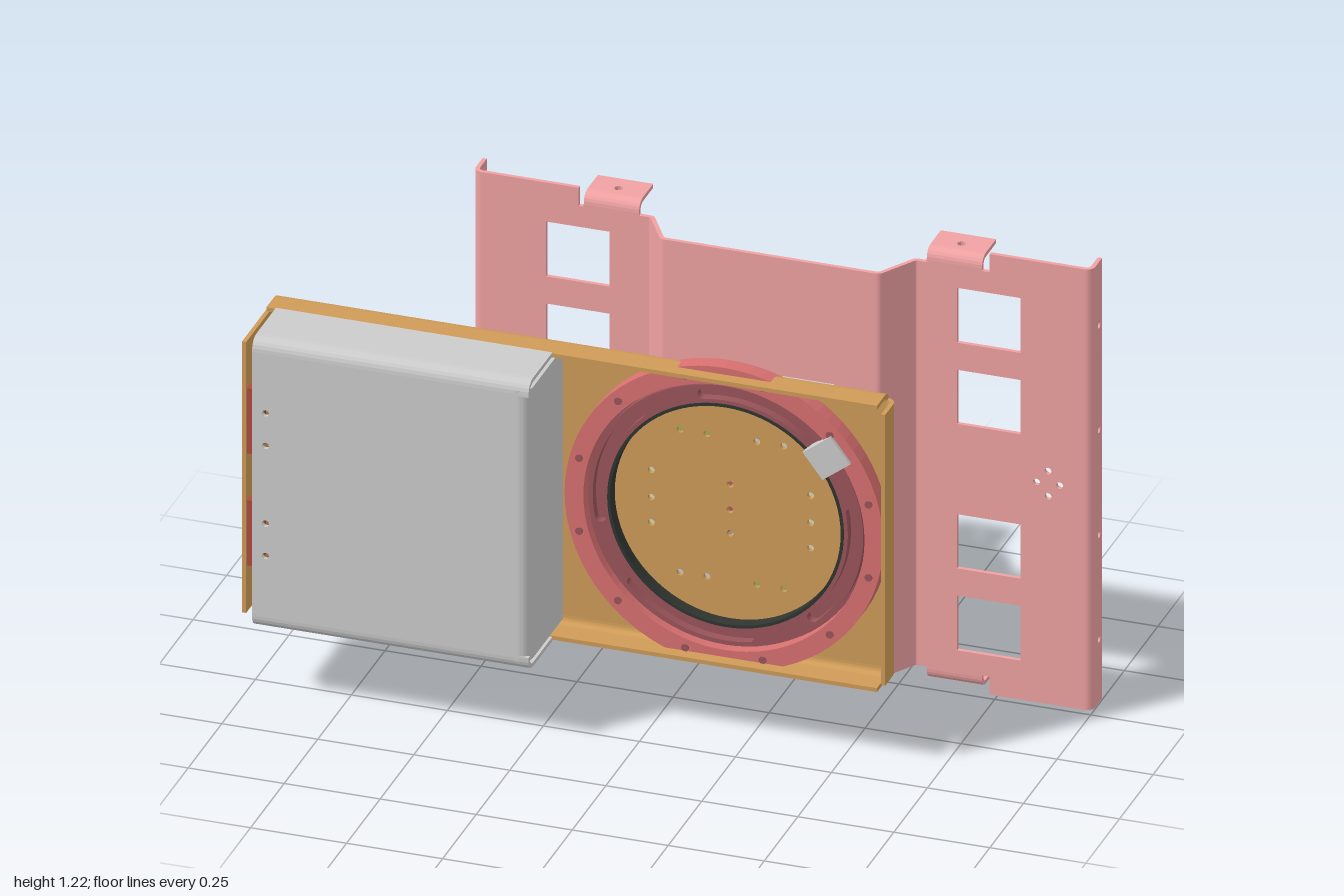
import * as THREE from 'three';

const paint = (color) => new THREE.MeshStandardMaterial({ color, side: THREE.DoubleSide });
const M = {
  pink: paint(0xf0a2a2), brown: paint(0xd09c58), grey: paint(0xcccccc), ring: paint(0xd87070),
  darkRing: paint(0x9a545a), orange: paint(0xf08c10), green: paint(0x96b05a), pale: paint(0xd6d9bb),
  bolt: paint(0x303530), core: paint(0xd87c7c), red: paint(0xb04a40),
};
const T = 0.011; // sheet thickness
const CY = 0.61; // mid height, the mirror line of most parts

function add(parent, name, geo, mat, x = 0, y = 0, z = 0) {
  const m = new THREE.Mesh(geo, mat);
  m.name = name;
  m.position.set(x, y, z);
  parent.add(m);
  return m;
}
const V = (p) => p.map(([x, y]) => new THREE.Vector2(x, y));
const rect = (x0, y0, x1, y1) => [[x0, y0], [x1, y0], [x1, y1], [x0, y1]];
const box = (p, name, mat, x0, x1, y0, y1, z0, z1) =>
  add(p, name, new THREE.BoxGeometry(x1 - x0, y1 - y0, z1 - z0), mat, (x0 + x1) / 2, (y0 + y1) / 2, (z0 + z1) / 2);

// flat plate with square windows and round holes [x, y, r]
function plate(outline, windows = [], holes = [], depth = T) {
  const s = new THREE.Shape(V(outline));
  windows.forEach((w) => s.holes.push(new THREE.Path(V(w))));
  holes.forEach(([x, y, r = 0.009]) => s.holes.push(new THREE.Path().absarc(x, y, r, 0, Math.PI * 2, true)));
  return new THREE.ExtrudeGeometry(s, { depth, bevelEnabled: false, curveSegments: 6 });
}
// sheet following a centre line with rounded bends
function bent(points, depth, r = 0.025, t = T) {
  const p = V(points), line = [p[0]];
  for (let i = 1; i < p.length - 1; i++) {
    const a = p[i - 1].clone().sub(p[i]).setLength(r).add(p[i]);
    const b = p[i + 1].clone().sub(p[i]).setLength(r).add(p[i]);
    line.push(...new THREE.QuadraticBezierCurve(a, p[i], b).getPoints(6));
  }
  line.push(p[p.length - 1]);
  const side = (k) => line.map((q, i) => {
    const d = line[Math.min(i + 1, line.length - 1)].clone().sub(line[Math.max(i - 1, 0)]).normalize();
    return new THREE.Vector2(q.x - d.y * k, q.y + d.x * k);
  });
  const shape = new THREE.Shape([...side(t / 2), ...side(-t / 2).reverse()]);
  return new THREE.ExtrudeGeometry(shape, { depth, bevelEnabled: false });
}
// profile of [x, z] raised along y, and profile of [z, y] run along x
const bentUp = (pts, y0, y1, r) => bent(pts.map(([x, z]) => [x, -z]), y1 - y0, r).rotateX(-Math.PI / 2).translate(0, y0, 0);
const bentAcross = (pts, x0, x1, r) => bent(pts.map(([z, y]) => [-z, y]), x1 - x0, r).rotateY(Math.PI / 2).translate(x0, 0, 0);
const flipY = (pts) => pts.map(([z, y]) => [z, 2 * CY - y]);

// extruded bar with grooves in its sides
function slottedBar(w, h, slotsSide, slotsTop, length) {
  const pts = [], run = (slots, half, place) => {
    pts.push(place(-half, 0));
    slots.forEach((c) => pts.push(place(c - 0.011, 0), place(c - 0.011, 0.022), place(c + 0.011, 0.022), place(c + 0.011, 0)));
  };
  run(slotsTop, w / 2, (u, d) => [u, -h / 2 + d]);
  run(slotsSide, h / 2, (u, d) => [w / 2 - d, u]);
  run(slotsTop, w / 2, (u, d) => [-u, h / 2 - d]);
  run(slotsSide, h / 2, (u, d) => [-w / 2 + d, -u]);
  return plate(pts, [], [], length);
}
function bolt(p, x, y, z, axis, len = 0.025, r = 0.017) {
  const m = add(p, 'bolt', new THREE.CylinderGeometry(r, r, len, 16), M.bolt, x, y, z);
  if (axis === 'x') m.rotation.z = Math.PI / 2;
  if (axis === 'z') m.rotation.x = Math.PI / 2;
}

// folded wall plate
function wallPlate() {
  const g = new THREE.Group();
  g.name = 'wallPlate';
  const rows = [[0.108, 0.26], [0.335, 0.485], [0.735, 0.885], [0.96, 1.112]];
  const wings = [[-0.61, -0.34, -0.16, -0.425, -0.26, -0.255], [0.992, 0.73, 0.545, 0.645, 0.81, 0.638]];
  wings.forEach(([out, step, inn, w0, w1, tabX], i) => {
    const sx = i ? -1 : 1, o = out + sx * 0.02;
    const outline = [[o, 0], [step, 0], [step, 0.05], [inn, 0.05], [inn, 1.17], [step, 1.17], [step, 1.22], [o, 1.22]];
    const hx = out + sx * 0.11;
    const pins = [[hx, 0.575], [hx, 0.645], [hx + 0.03 * sx, CY], [hx - 0.03 * sx, CY]];
    add(g, 'wing', plate(outline, rows.map(([a, b]) => rect(w0, a, w1, b)), pins), M.pink, 0, 0, -0.281);
    // outer flange and its bend
    add(g, 'wingBend', bentUp([[o, -0.2755], [out, -0.2755], [out, -0.297]], 0, 1.22, 0.018), M.pink);
    const edge = plate(rect(0.295, 0, 0.342, 1.22), [], [0.175, 0.465, 0.755, 1.045].map((y) => [0.32, y]));
    add(g, 'sideFlange', edge.rotateY(Math.PI / 2), M.pink, out - T / 2);
    // sloped joggle towards the middle panel
    const mid = i ? 0.465 : -0.08;
    add(g, 'slope', bentUp([[inn - sx * 0.01, -0.2755], [inn + sx * 0.01, -0.2755], [mid - sx * 0.01, -0.1755], [mid + sx * 0.02, -0.1755]], 0.05, 1.17, 0.009), M.pink);
    // hooked tabs at top and bottom
    const hook = [[-0.2755, 1.15], [-0.2755, 1.201], [-0.31, 1.201]];
    const x0 = tabX - 0.072, x1 = tabX + 0.072;
    [hook, flipY(hook)].forEach((h) => {
      add(g, 'tabBend', bentAcross(h, x0, x1, 0.025), M.pink);
      const flat = plate(rect(x0, 0.305, x1, 0.375), [], [[tabX, 0.325, 0.011]]).rotateX(-Math.PI / 2);
      add(g, 'tab', flat, M.pink, 0, h[2][1] - T / 2, 0);
    });
  });
  add(g, 'middlePanel', plate(rect(-0.07, 0.05, 0.455, 1.17), [], mountHoles()), M.pink, 0, 0, -0.181);
  return g;
}
function mountHoles() {
  const h = [];
  for (const y of [0.415, 0.81]) for (const x of [0.06, 0.13, 0.26, 0.33]) h.push([x, y]);
  for (const y of [0.54, 0.61, 0.685]) for (const x of [-0.015, 0.4]) h.push([x, y]);
  return h;
}

// shallow front tray
function tray() {
  const g = new THREE.Group();
  g.name = 'tray';
  const holes = [...mountHoles(), [0.19, 0.545], [0.19, 0.61], [0.19, 0.68]];
  add(g, 'trayBack', plate(rect(-0.975, 0.24, 0.595, 0.98), [], holes), M.brown, 0, 0, 0.108);
  const lip = [[0.1135, 0.975], [0.1135, 1.001], [0.197, 1.001]];
  [lip, flipY(lip)].forEach((l) => add(g, 'trayFlange', bentAcross(l, -0.99, 0.6, 0.025), M.brown));
  add(g, 'rightFlange', bentUp([[0.59, 0.1135], [0.616, 0.1135], [0.616, 0.197]], 0.235, 0.985), M.brown);
  add(g, 'leftFlange', bentUp([[-0.97, 0.1135], [-0.9945, 0.1135], [-0.9945, 0.35]], 0.235, 0.985), M.brown);
  for (const y of [0.455, 0.765]) box(g, 'sideConnector', M.red, -0.989, -0.965, y - 0.09, y + 0.09, 0.27, 0.345);
  return g;
}

// box cover over one half of the tray
function cover() {
  const g = new THREE.Group();
  g.name = 'cover';
  const holes = [0.415, 0.505, 0.72, 0.81].map((y) => [-0.93, y]);
  add(g, 'coverFront', plate(rect(-0.965, 0.245, -0.275, 0.975), [], holes), M.grey, 0, 0, 0.364);
  const edge = [[0.3695, 0.97], [0.3695, 1.004], [0.197, 1.004]];
  [edge, flipY(edge)].forEach((e) => add(g, 'coverFlange', bentAcross(e, -0.965, -0.245, 0.03), M.grey));
  add(g, 'coverSide', bentUp([[-0.28, 0.3695], [-0.25, 0.3695], [-0.25, 0.12]], 0.235, 0.985, 0.028), M.grey);
  return g;
}

// round bearing ring with arc slots and a clamp
function turntable() {
  const g = new THREE.Group();
  g.name = 'turntable';
  g.position.set(0.19, CY, 0.119);
  const annulus = (r0, r1, depth, slots = []) => {
    const s = new THREE.Shape().absarc(0, 0, r1, 0, Math.PI * 2, false);
    s.holes.push(new THREE.Path().absarc(0, 0, r0, 0, Math.PI * 2, true));
    slots.forEach(([a, b, r, w]) => {
      const end = (t) => [r * Math.cos(t), r * Math.sin(t)];
      s.holes.push(new THREE.Path().absarc(0, 0, r + w, a, b, false)
        .absarc(...end(b), w, b, b + Math.PI, false)
        .absarc(0, 0, r - w, b, a, true).absarc(...end(a), w, a + Math.PI, a + Math.PI * 2, false));
    });
    return new THREE.ExtrudeGeometry(s, { depth, bevelEnabled: false, curveSegments: 40 });
  };
  const arcs = [0, 1, 2, 3].map((i) => [0.35 + i * Math.PI / 2 + 0.4, 1.35 + i * Math.PI / 2 + 0.4, 0.332, 0.014]);
  add(g, 'outerRing', annulus(0.366, 0.415, 0.045), M.ring);
  add(g, 'innerRing', annulus(0.306, 0.358, 0.032, arcs), M.darkRing);
  add(g, 'ringFloor', annulus(0.306, 0.37, 0.008), M.darkRing);
  add(g, 'innerSeal', annulus(0.3, 0.308, 0.034), M.bolt);
  for (let i = 0; i < 12; i++) {
    const a = (i + 0.5) * Math.PI / 6;
    add(g, 'ringScrew', new THREE.CylinderGeometry(0.01, 0.01, 0.004, 12).rotateX(Math.PI / 2), M.darkRing, 0.39 * Math.cos(a), 0.39 * Math.sin(a), 0.046);
  }
  add(g, 'clamp', new THREE.BoxGeometry(0.09, 0.085, 0.03), M.grey, 0.27, 0.215, 0.04).rotation.z = 0.65;
  return g;
}

// ribbed corner bracket: legs along +z and +y from its corner
function cornerBracket(mat) {
  const g = new THREE.Group(), w = 0.135;
  box(g, 'foot', mat, 0, w, 0, 0.015, 0, 0.13);
  box(g, 'upright', mat, 0, w, 0, 0.125, 0, 0.017);
  const rib = [[0, 0], [-0.09, 0], [-0.09, 0.014]];
  for (let i = 0; i <= 12; i++) {
    const a = -Math.PI / 2 - (i / 12) * Math.PI / 2, r = i % 2 ? 0.064 : 0.052;
    rib.push([-0.085 - r * Math.cos(a), 0.08 + r * Math.sin(a)]);
  }
  rib.push([-0.015, 0.085], [0, 0.085]);
  for (const x of [0, w - 0.018]) add(g, 'rib', plate(rib, [], [], 0.018).rotateY(Math.PI / 2), mat, x);
  for (const x of [0.034, 0.1]) {
    add(g, 'washer', new THREE.CylinderGeometry(0.014, 0.014, 0.015, 16), mat, x, 0.022, 0.092);
    bolt(g, x, 0.027, 0.092, 'y', 0.014, 0.016);
  }
  return g;
}

// twin bars with brackets joining the wall plate to the tray
function mount() {
  const g = new THREE.Group();
  g.name = 'mount';
  [[0.022, -1], [0.227, 1]].forEach(([x, s]) => {
    add(g, 'mountBar', slottedBar(0.135, 0.22, [-0.073, 0, 0.073], [-0.033, 0.033], 0.274), M.core, x + 0.0675, CY, -0.166);
    for (const top of [1, -1]) for (const front of [1, -1]) {
      const b = cornerBracket(top === s ? M.grey : M.green);
      b.name = 'cornerBracket';
      b.position.set(x, CY + top * 0.11, front > 0 ? 0.108 : -0.17);
      b.scale.set(1, top, -front);
      g.add(b);
    }
    // side angles with bolts
    const face = s > 0 ? x + 0.135 : x;
    for (const [z, d] of [[0.108, -1], [-0.17, 1]]) {
      const p = [[face + s * 0.006, z + d * 0.073], [face + s * 0.006, z + d * 0.006], [face + s * 0.068, z + d * 0.006]];
      add(g, 'sideAngle', bentUp(p, 0.515, 0.71, 0.012), M.pale);
      for (const dy of [-0.073, 0, 0.073]) bolt(g, face + s * 0.022, CY + dy, z + d * 0.054, 'x');
      bolt(g, face + s * 0.04, CY, z + d * 0.022, 'z');
    }
  });
  return g;
}

// grooved post with end caps
function post() {
  const g = new THREE.Group();
  g.name = 'supportPost';
  add(g, 'postBar', slottedBar(0.1, 0.1, [0], [0], 0.33), M.orange, -0.495, CY, -0.25);
  for (const z of [-0.2695, 0.074]) box(g, 'postCap', M.grey, -0.566, -0.424, CY - 0.071, CY + 0.071, z, z + 0.034);
  return g;
}

export function createModel() {
  const model = new THREE.Group();
  model.name = 'wallMountedTray';
  model.add(wallPlate(), tray(), cover(), turntable(), mount(), post());
  return model;
}
